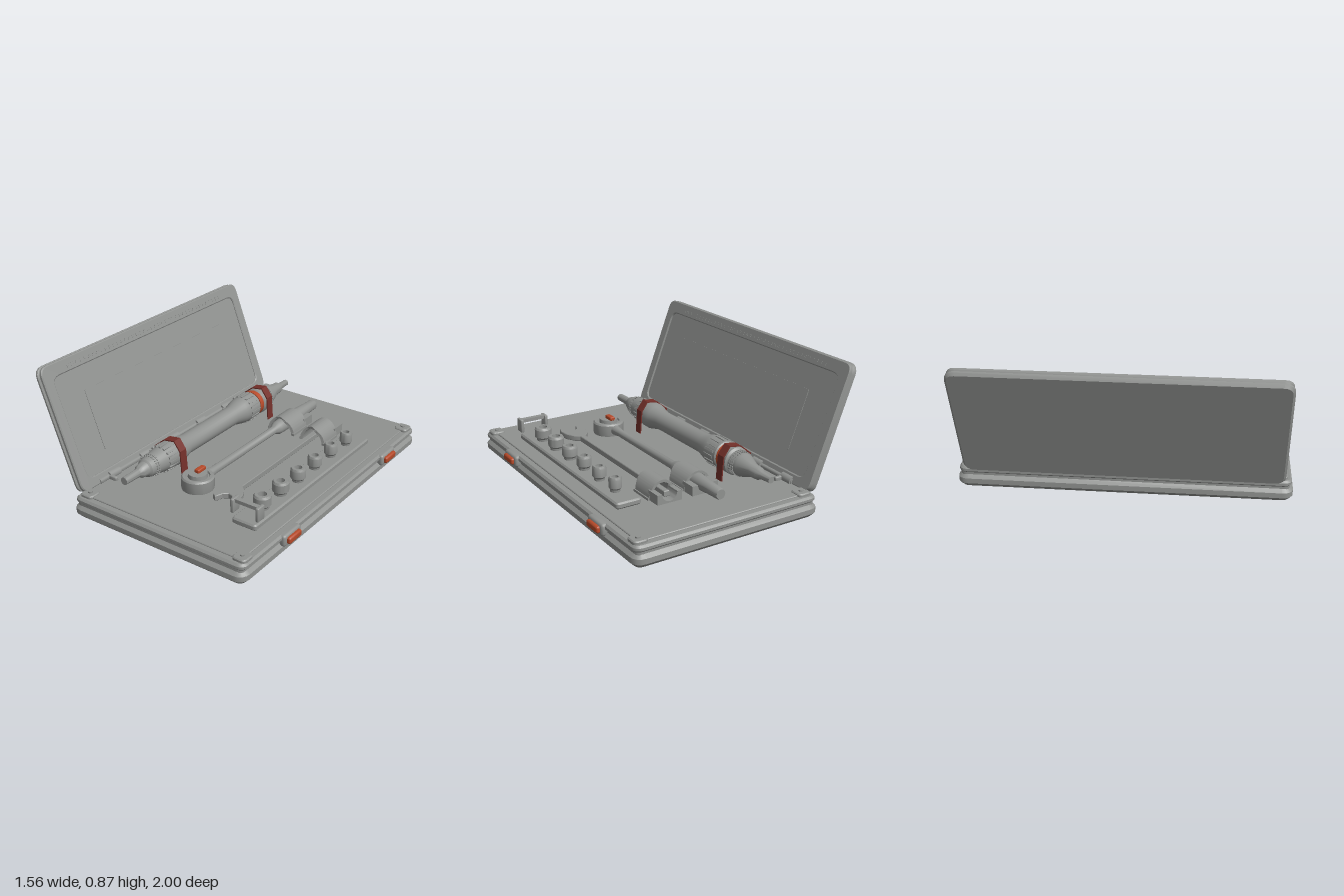
import * as THREE from 'three';
import { toCreasedNormals } from 'three/addons/utils/BufferGeometryUtils.js';
import { RoundedBoxGeometry } from 'three/addons/geometries/RoundedBoxGeometry.js';

const grey = new THREE.MeshStandardMaterial({ name: 'grey metal', color: 0x909290 });
const orange = new THREE.MeshStandardMaterial({ name: 'orange', color: 0xb54a2a });
const red = new THREE.MeshStandardMaterial({ name: 'dark red strap', color: 0x74302a });

const V = (x, y) => new THREE.Vector2(x, y);

function add(parent, name, geo, mat = grey, x = 0, y = 0, z = 0) {
  const mesh = new THREE.Mesh(toCreasedNormals(geo, 0.5), mat);
  mesh.name = name;
  mesh.position.set(x, y, z);
  parent.add(mesh);
  return mesh;
}

function roundRect(x0, x1, z0, z1, r, T = THREE.Shape) {
  const s = new T();
  s.moveTo(x0 + r, z0);
  s.lineTo(x1 - r, z0); s.quadraticCurveTo(x1, z0, x1, z0 + r);
  s.lineTo(x1, z1 - r); s.quadraticCurveTo(x1, z1, x1 - r, z1);
  s.lineTo(x0 + r, z1); s.quadraticCurveTo(x0, z1, x0, z1 - r);
  s.lineTo(x0, z0 + r); s.quadraticCurveTo(x0, z0, x0 + r, z0);
  return s;
}

// Flat plate with chamfered rims, lying between y0 and y1
function slab(x0, x1, z0, z1, y0, y1, r, b, hole) {
  const s = roundRect(x0 + b, x1 - b, -z1 + b, -z0 - b, r);
  if (hole) s.holes.push(hole);
  const g = new THREE.ExtrudeGeometry(s, {
    depth: y1 - y0 - 2 * b, bevelEnabled: b > 0, bevelSize: b, bevelThickness: b, bevelSegments: 1, curveSegments: 4,
  });
  return g.rotateX(-Math.PI / 2).translate(0, y0 + b, 0);
}

// Turned part along z, profile given as [z, radius]
function turned(points, seg = 28) {
  return new THREE.LatheGeometry(points.map(([z, r]) => V(r, z)), seg).rotateX(Math.PI / 2);
}

function buildCase(g) {
  add(g, 'caseBottom', slab(-0.5, 0.74, -1, 1, 0, 0.088, 0.04, 0.028));
  add(g, 'caseSeam', slab(-0.48, 0.72, -0.98, 0.98, 0.07, 0.1, 0.04, 0));
  add(g, 'caseTray', slab(-0.49, 0.735, -0.99, 0.99, 0.092, 0.132, 0.04, 0.012));
  add(g, 'trayFloor', slab(-0.46, 0.69, -0.945, 0.945, 0.12, 0.14, 0.02, 0.004));
  // Corner plates with studs
  for (const x of [-0.42, 0.68]) for (const z of [-0.92, 0.92]) {
    add(g, 'cornerPlate', slab(x - 0.045, x + 0.045, z - 0.045, z + 0.045, 0.12, 0.15, 0.02, 0.006));
    add(g, 'cornerStud', new THREE.CylinderGeometry(0.014, 0.014, 0.01, 16), grey, x, 0.153, z);
  }
  // Latches
  for (const z of [-0.585, 0.54]) {
    add(g, 'latchBody', new RoundedBoxGeometry(0.055, 0.075, 0.17, 2, 0.018), grey, 0.728, 0.095, z);
    add(g, 'latchButton', new RoundedBoxGeometry(0.035, 0.042, 0.124, 2, 0.012), orange, 0.758, 0.095, z);
  }
  // Hinge pin and knuckles
  add(g, 'hingePin', new THREE.CylinderGeometry(0.018, 0.018, 1.6, 14).rotateX(Math.PI / 2), grey, -0.462, 0.15, 0);
  for (let i = 0; i < 6; i++) {
    const z = -0.71 + i * 0.285;
    add(g, 'hingeKnuckle', new THREE.CylinderGeometry(0.029, 0.029, 0.09, 16).rotateX(Math.PI / 2), grey, -0.464, 0.152, z - 0.04);
    add(g, 'hingeLeaf', new RoundedBoxGeometry(0.07, 0.03, 0.026, 2, 0.01), grey, -0.428, 0.15, z);
  }
}

function buildLid(g) {
  const lid = new THREE.Group();
  lid.name = 'lid';
  lid.position.set(-0.505, 0.115, 0);
  lid.rotation.z = THREE.MathUtils.degToRad(111);
  g.add(lid);
  add(lid, 'lidShell', slab(0, 0.79, -0.95, 0.95, -0.04, 0, 0.05, 0.014));
  const hole = roundRect(0.06, 0.71, -0.88, 0.88, 0.06, THREE.Path);
  add(lid, 'lidRim', slab(0.004, 0.786, -0.946, 0.946, -0.062, -0.036, 0.05, 0.006, hole));
  add(lid, 'lidPanel', slab(0.05, 0.72, -0.89, 0.89, -0.052, -0.03, 0.05, 0));
  add(lid, 'lidInset', slab(0.175, 0.56, -0.675, 0.675, -0.055, -0.05, 0.01, 0));
  // Two rows of short ribs near the free edge
  for (const x of [0.73, 0.742]) for (let i = 0; i < 42; i++)
    add(lid, 'lidRib', new THREE.BoxGeometry(0.006, 0.004, 0.022), grey, x, -0.063, -0.738 + i * 0.036);
}

function buildPowerTool(g) {
  const tool = new THREE.Group();
  tool.name = 'barrelTool';
  tool.position.set(-0.23, 0.246, 0);
  g.add(tool);
  add(tool, 'barrel', turned([
    [-0.88, 0], [-0.88, 0.02], [-0.8, 0.024], [-0.77, 0.038], [-0.71, 0.042], [-0.63, 0.07], [-0.615, 0.072],
    [-0.56, 0.075], [-0.55, 0.088], [-0.5, 0.088], [-0.49, 0.078], [-0.45, 0.078], [-0.44, 0.088], [-0.35, 0.09],
    [-0.3, 0.084], [-0.22, 0.064], [0.27, 0.064], [0.34, 0.08], [0.37, 0.088], [0.44, 0.086], [0.5, 0.079],
    [0.64, 0.058], [0.65, 0.048], [0.69, 0.04], [0.71, 0.026], [0.83, 0.024], [0.83, 0]]));
  add(tool, 'orangeRing', turned([[-0.488, 0.07], [-0.488, 0.083], [-0.452, 0.083], [-0.452, 0.07]]), orange);
  // Grip ribs and knurled bands
  const ring = (name, n, z, r, size) => {
    for (let i = 0; i < n; i++) {
      const a = (i / n) * Math.PI * 2;
      add(tool, name, new THREE.BoxGeometry(...size), grey, r * Math.cos(a), r * Math.sin(a), z).rotation.z = a;
    }
  };
  ring('gripRib', 16, -0.38, 0.088, [0.012, 0.014, 0.085]);
  ring('gripRib', 16, 0.465, 0.081, [0.012, 0.014, 0.085]);
  for (const z of [-0.605, -0.588, -0.571]) ring('knurl', 28, z, 0.074, [0.008, 0.009, 0.01]);
  for (const z of [0.585, 0.602]) ring('knurl', 24, z, z < 0.6 ? 0.067 : 0.064, [0.008, 0.009, 0.01]);
  // Faceted hold-down straps
  const path = [[-0.342, 0.14], [-0.332, 0.28], [-0.255, 0.343], [-0.175, 0.355], [-0.13, 0.295], [-0.118, 0.14]];
  const outer = path.map(([x, y]) => V(x, y));
  const inner = path.map(([x, y]) => V(-0.23 + (x + 0.23) * 0.93, 0.14 + (y - 0.14) * 0.965)).reverse();
  for (const z of [-0.525, 0.405])
    add(g, 'strap', new THREE.ExtrudeGeometry(new THREE.Shape([...outer, ...inner]),
      { depth: 0.056, bevelEnabled: false }), red, 0, 0, z - 0.028);
}

// Arched holder with a wavy front edge and small feet
function buildClip(g, x, r) {
  const s = new THREE.Shape();
  s.moveTo(r, 0); s.absellipse(0, 0, r, 0.108, 0, Math.PI, false);
  s.lineTo(-r + 0.016, 0);
  s.absellipse(0, 0, r - 0.016, 0.092, Math.PI, 0, true);
  const geo = new THREE.ExtrudeGeometry(s, { depth: 0.165, bevelEnabled: false, curveSegments: 24 });
  const p = geo.attributes.position;
  for (let i = 0; i < p.count; i++)
    if (p.getZ(i) > 0.1) p.setZ(i, 0.165 + 0.012 * Math.sin((p.getX(i) / r) * 4));
  geo.computeVertexNormals();
  add(g, 'toolClip', geo, grey, x, 0.142, -0.555);
  // Lower cradle behind the arch
  const c = new THREE.Shape();
  c.moveTo(-r + 0.006, 0); c.lineTo(r - 0.006, 0); c.lineTo(r - 0.006, 0.06); c.lineTo(0.055, 0.06);
  c.absarc(0, 0.06, 0.05, 0, Math.PI, true);
  c.lineTo(-r + 0.006, 0.06);
  add(g, 'clipCradle', new THREE.ExtrudeGeometry(c, { depth: 0.1, bevelEnabled: false }), grey, x, 0.14, -0.635);
  for (const k of [-1, 1])
    add(g, 'clipFoot', new THREE.BoxGeometry(0.02, 0.016, 0.16), grey, x + k * (r - 0.003), 0.147, -0.47);
}

function buildRatchet(g) {
  const x = 0.055;
  add(g, 'ratchetHead', new THREE.LatheGeometry([
    V(0, 0.15), V(0.098, 0.15), V(0.1, 0.16), V(0.1, 0.222), V(0.092, 0.232), V(0.074, 0.232), V(0.07, 0.222),
    V(0.06, 0.222), V(0.058, 0.248), V(0, 0.248)], 36), grey, x, 0, 0.5);
  add(g, 'ratchetLever', new RoundedBoxGeometry(0.036, 0.026, 0.075, 2, 0.009), orange, x, 0.258, 0.475);
  add(g, 'ratchetHandle', turned([[-0.79, 0], [-0.79, 0.03], [-0.78, 0.034], [-0.68, 0.038], [-0.58, 0.046], [-0.4, 0.046],
    [-0.34, 0.044], [-0.3, 0.026], [0.34, 0.025], [0.4, 0.032], [0.45, 0.036], [0.45, 0]], 24), grey, x, 0.192, 0);
  buildClip(g, x, 0.095);
}

function buildWrench(g) {
  // Outline in x and z, laid flat
  const pts = [[-0.015, -0.6], [0.015, -0.6], [0.015, 0.41], [0.045, 0.435], [0.075, 0.49], [0.083, 0.55], [0.07, 0.595],
    [0.055, 0.575], [0.035, 0.53], [0, 0.52], [-0.03, 0.545], [-0.045, 0.59], [-0.07, 0.575], [-0.075, 0.52], [-0.06, 0.455], [-0.015, 0.41]];
  const geo = new THREE.ExtrudeGeometry(new THREE.Shape(pts.map(([a, z]) => V(a, -z))),
    { depth: 0.028, bevelEnabled: true, bevelSize: 0.003, bevelThickness: 0.004, bevelSegments: 1 });
  add(g, 'openWrench', geo.rotateX(-Math.PI / 2), grey, 0.297, 0.169, 0);
  buildClip(g, 0.297, 0.087);
}

function buildSockets(g) {
  add(g, 'socketRail', slab(0.445, 0.61, -0.58, 0.7, 0.147, 0.186, 0.012, 0.009));
  for (let i = 0; i < 6; i++) {
    const r = 0.039 + i * 0.0028;
    add(g, 'socket', new THREE.LatheGeometry([
      V(0, 0.18), V(r * 0.75, 0.18), V(r * 0.78, 0.2), V(r, 0.212), V(r, 0.262), V(r * 0.85, 0.275),
      V(r * 0.5, 0.275), V(r * 0.45, 0.225), V(0, 0.225)], 28), grey, 0.528, 0, -0.42 + i * 0.187);
  }
  // End bracket with two cheeks
  add(g, 'bracketBar', new THREE.BoxGeometry(0.18, 0.022, 0.03), grey, 0.53, 0.285, 0.665);
  for (const k of [-1, 1])
    add(g, 'bracketCheek', new RoundedBoxGeometry(0.022, 0.088, 0.066, 2, 0.008), grey, 0.53 + k * 0.085, 0.255, 0.665);
}

export function createModel() {
  const g = new THREE.Group();
  g.name = 'toolCase';
  buildCase(g);
  buildLid(g);
  buildPowerTool(g);
  buildRatchet(g);
  buildWrench(g);
  buildSockets(g);
  return g;
}
